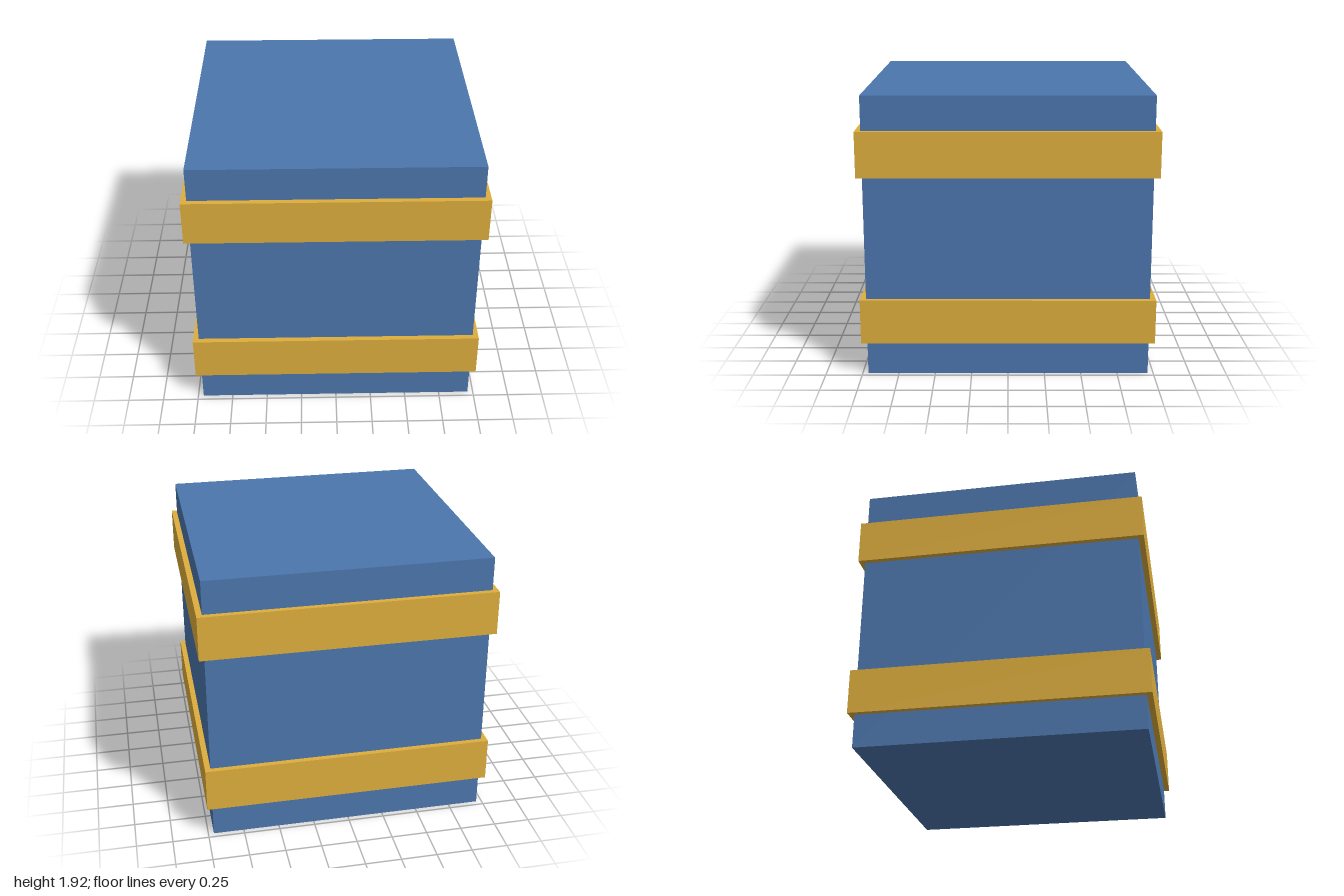
import * as THREE from 'three';

export function createModel() {
  const group = new THREE.Group();
  const blue = new THREE.MeshStandardMaterial({ color: 0x4c76ad });
  const yellow = new THREE.MeshStandardMaterial({ color: 0xdeae3d });

  // A square block centred on the vertical axis
  function addBlock(name, width, height, centerY, material) {
    const mesh = new THREE.Mesh(new THREE.BoxGeometry(width, height, width), material);
    mesh.name = name;
    mesh.position.y = centerY;
    group.add(mesh);
  }

  // Crate body
  const size = 1.923;
  addBlock('body', size, size, size / 2, blue);

  // Two bands wrapped around the body, standing slightly proud of it
  addBlock('lowerBand', 2, 0.308, 0.385, yellow);
  addBlock('upperBand', 2, 0.308, 1.538, yellow);

  return group;
}
